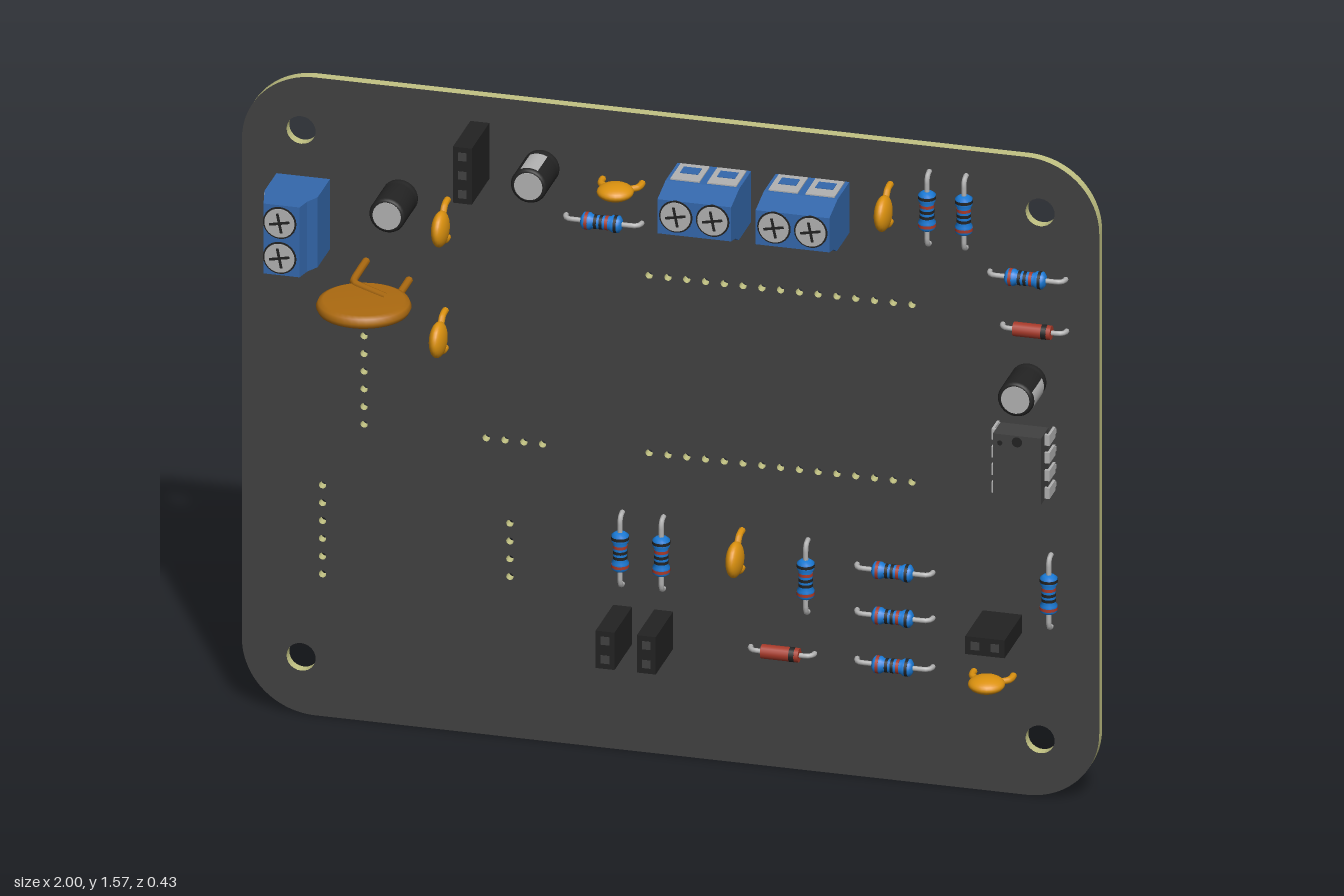
import * as THREE from 'three';

const mat = (name, color) => Object.assign(new THREE.MeshStandardMaterial({ color }), { name });
const M = {
  board: mat('board charcoal', 0x414141),
  edge: mat('board edge', 0xc2c283),
  terminal: mat('terminal blue', 0x3468ac),
  resistor: mat('resistor blue', 0x1a7ad6),
  orange: mat('capacitor orange', 0xdc920f),
  brown: mat('varistor amber', 0xac6a10),
  silver: mat('metal silver', 0xb2b2b2),
  black: mat('plastic black', 0x232323),
  red: mat('diode red', 0xa83a2a),
};
const FACE = -0.097, THICK = 0.024, TAIL = -0.058;

function add(group, name, geo, material, x = 0, y = 0, z = 0) {
  const m = new THREE.Mesh(geo, material);
  m.name = name;
  m.position.set(x, y, z);
  group.add(m);
  return m;
}
const box = (w, h, d) => new THREE.BoxGeometry(w, h, d);
const rod = (r, len, seg = 24) => new THREE.CylinderGeometry(r, r, len, seg).rotateX(Math.PI / 2);
const v = (x, y, z) => new THREE.Vector3(x, y, z);
const lathe = (pts, seg) => new THREE.LatheGeometry(pts.map(p => new THREE.Vector2(...p)), seg);

// Straight polyline tube with softened corners
function wire(group, name, pts, r, material) {
  const path = new THREE.CatmullRomCurve3(pts, false, 'catmullrom', 0.2);
  add(group, name, new THREE.TubeGeometry(path, 14, r, 8), material);
}
function pin(group, x, y, end = TAIL, r = 0.006, material = M.silver) {
  add(group, 'pin', rod(r, 0.01 - end, 8), material, x, y, (0.01 + end) / 2);
}

// Rounded board with mounting holes and rows of pin holes
function makeBoard() {
  const W = 1, H = 1.57, R = 0.17, s = new THREE.Shape();
  s.absarc(W - R, R, R, -Math.PI / 2, 0);
  s.absarc(W - R, H - R, R, 0, Math.PI / 2);
  s.absarc(-W + R, H - R, R, Math.PI / 2, Math.PI);
  s.absarc(-W + R, R, R, Math.PI, Math.PI * 1.5);
  const hole = (x, y, r) => {
    const p = new THREE.Path();
    p.absarc(x, y, r, 0, Math.PI * 2, true);
    s.holes.push(p);
  };
  for (const x of [-0.862, 0.862]) for (const y of [0.14, 1.437]) hole(x, y, 0.034);
  // x, y, count, step x, step y
  const rows = [
    [-0.05, 1.175, 15, 0.0438, 0], [-0.05, 0.738, 15, 0.0438, 0],
    [-0.715, 0.73, 7, 0, 0.0435], [-0.43, 0.73, 4, 0.0438, 0],
    [-0.812, 0.35, 6, 0, 0.0438], [-0.375, 0.395, 4, 0, 0.0438],
  ];
  for (const [x, y, n, dx, dy] of rows)
    for (let i = 0; i < n; i++) hole(x + i * dx, y + i * dy, 0.0085);
  const geo = new THREE.ExtrudeGeometry(s, { depth: THICK, bevelEnabled: false, curveSegments: 12 });
  const m = new THREE.Mesh(geo, [M.board, M.edge]);
  m.name = 'circuitBoard';
  m.position.z = FACE - THICK;
  return m;
}

// Bent leads at both ends of an axial part
function axialLeads(g, half, z) {
  for (const s of [-1, 1])
    wire(g, 'lead', [v(s * 0.03, 0, z), v(s * (half - 0.012), 0, z), v(s * half, 0, z - 0.012), v(s * half, 0, TAIL)], 0.006, M.silver);
}

function resistor(g) {
  const z = 0.021;
  const pts = [[0, -0.048], [0.012, -0.047], [0.02, -0.041], [0.02, -0.026], [0.016, -0.02],
    [0.016, 0.02], [0.02, 0.026], [0.02, 0.041], [0.012, 0.047], [0, 0.048]];
  add(g, 'resistorBody', lathe(pts, 16).rotateZ(-Math.PI / 2), M.resistor, 0, 0, z);
  const bands = [[-0.034, 0.0205, M.red], [-0.013, 0.0166, M.black], [0, 0.0166, M.black], [0.013, 0.0166, M.red], [0.034, 0.0205, M.black]];
  for (const [x, r, m] of bands)
    add(g, 'colourBand', new THREE.CylinderGeometry(r, r, 0.007, 16).rotateZ(Math.PI / 2), m, x, 0, z);
  axialLeads(g, 0.088, z);
}

function diode(g) {
  const z = 0.02, cyl = (r, l) => new THREE.CylinderGeometry(r, r, l, 16).rotateZ(Math.PI / 2);
  add(g, 'diodeBody', cyl(0.0165, 0.088), M.red, 0, 0, z);
  add(g, 'diodeBand', cyl(0.017, 0.012), M.black, 0.028, 0, z);
  axialLeads(g, 0.074, z);
}

function discCapacitor(g) {
  add(g, 'capacitorDisc', new THREE.SphereGeometry(1, 24, 16).scale(0.042, 0.019, 0.042), M.orange, 0, 0, 0.062);
  for (const s of [-1, 1]) {
    wire(g, 'capacitorLeg', [v(s * 0.022, 0, 0.045), v(s * 0.042, 0, 0.028), v(s * 0.046, 0, 0.014), v(s * 0.046, 0, 0)], 0.008, M.orange);
    pin(g, s * 0.046, 0);
  }
}

function varistor(g) {
  const pts = [[0, -0.016], [0.092, -0.016], [0.103, -0.011], [0.108, 0], [0.103, 0.011], [0.092, 0.016], [0, 0.016]];
  add(g, 'varistorDisc', lathe(pts, 40), M.brown, 0, 0, 0.203);
  for (const s of [-1, 1]) {
    wire(g, 'varistorLeg', [v(s * 0.05, s * -0.0175, 0), v(s * 0.05, s * -0.0175, 0.06),
      v(s * 0.046, s * -0.0155, 0.12), v(s * -0.045, s * -0.0145, 0.175)], 0.009, M.brown);
    pin(g, s * 0.05, s * -0.0175, -0.118, 0.008);
  }
}

function electrolytic(g) {
  const pts = [[0, 0], [0.039, 0], [0.042, 0.004], [0.042, 0.016], [0.038, 0.021], [0.042, 0.026],
    [0.042, 0.111], [0.038, 0.116], [0.033, 0.116], [0, 0.1155]];
  add(g, 'sleeve', lathe(pts, 28).rotateX(Math.PI / 2), M.black);
  add(g, 'canTop', rod(0.033, 0.004), M.silver, 0, 0, 0.116);
  const stripe = new THREE.CylinderGeometry(0.0428, 0.0428, 0.082, 8, 1, true, -0.5, 1).rotateX(Math.PI / 2);
  add(g, 'polarityStripe', stripe, M.silver, 0, 0, 0.069);
  for (const s of [-1, 1]) pin(g, 0, s * 0.022);
}

// Screw terminal, wire openings facing local +y
function terminalBlock(g) {
  const w = 0.172, s = new THREE.Shape();
  [[0.0625, 0], [0.0625, 0.1], [0.046, 0.17], [-0.038, 0.17], [-0.046, 0.135], [-0.0625, 0.105], [-0.0625, 0]]
    .forEach(([a, b], i) => (i ? s.lineTo(a, b) : s.moveTo(a, b)));
  const geo = new THREE.ExtrudeGeometry(s, { depth: w, bevelEnabled: false });
  geo.translate(0, 0, -w / 2).rotateX(Math.PI / 2).rotateZ(Math.PI / 2);
  add(g, 'terminalHousing', geo, M.terminal);
  for (const x of [-0.043, 0.043]) {
    add(g, 'screwWell', rod(0.039, 0.003), M.black, x, 0.008, 0.17);
    add(g, 'screwHead', rod(0.035, 0.006), M.silver, x, 0.008, 0.171);
    for (const a of [0.2, 0.2 + Math.PI / 2])
      add(g, 'screwSlot', box(0.048, 0.006, 0.002), M.black, x, 0.008, 0.1745).rotation.z = a;
    add(g, 'wireClamp', box(0.068, 0.004, 0.088), M.silver, x, 0.0635, 0.05);
    add(g, 'wireOpening', box(0.042, 0.004, 0.034), M.terminal, x, 0.065, 0.042);
    pin(g, x, 0, TAIL, 0.009);
  }
}

// Socket strip running along local x
const socket = (n, pinMat) => g => {
  add(g, 'socketHousing', box(n * 0.046, 0.044, 0.148), M.black, 0, 0, 0.074);
  for (let i = 0; i < n; i++) {
    const x = (i - (n - 1) / 2) * 0.046;
    add(g, 'socketOpening', box(0.02, 0.02, 0.002), M.board, x, 0, 0.148);
    pin(g, x, 0, TAIL, 0.007, pinMat);
  }
};

function chip(g) {
  add(g, 'chipBody', box(0.112, 0.163, 0.064), M.board, 0, 0, 0.055);
  add(g, 'chipNotch', rod(0.012, 0.002), M.black, 0, 0.066, 0.087);
  add(g, 'pinOneDot', rod(0.006, 0.002, 12), M.black, -0.04, 0.06, 0.087);
  for (const s of [-1, 1])
    for (let i = 0; i < 4; i++) {
      const y = (i - 1.5) * 0.0435;
      add(g, 'chipShoulder', box(0.012, 0.026, 0.008), M.silver, s * 0.06, y, 0.054);
      add(g, 'chipLeg', box(0.006, 0.026, 0.05), M.silver, s * 0.065, y, 0.033);
      add(g, 'chipPin', box(0.006, 0.011, 0.07), M.silver, s * 0.065, y, -0.024);
    }
}

export function createModel() {
  const root = new THREE.Group();
  root.name = 'circuitBoardAssembly';
  root.add(makeBoard());
  // Places one part per [x, y, quarter turns]
  const place = (name, build, spots) => {
    for (const [x, y, turns = 0] of spots) {
      const g = new THREE.Group();
      g.name = name;
      build(g);
      g.position.set(x, y, FACE);
      g.rotation.z = turns * Math.PI / 2;
      root.add(g);
    }
  };
  place('resistor', resistor, [
    [-0.155, 1.302], [0.604, 1.42, 1], [0.69, 1.42, 1], [0.834, 1.28], [-0.112, 0.497, 1], [-0.016, 0.497, 1],
    [0.321, 0.48, 1], [0.524, 0.522], [0.524, 0.41], [0.524, 0.29], [0.888, 0.51, 1],
  ]);
  place('diode', diode, [[0.85, 1.153], [0.262, 0.29]]);
  place('discCapacitor', discCapacitor, [
    [-0.52, 1.26, 1], [-0.525, 0.987, 1], [-0.112, 1.4], [0.513, 1.42, 1], [0.167, 0.527, 1], [0.754, 0.29],
  ]);
  place('varistor', varistor, [[-0.66, 1.115]]);
  place('electrolyticCapacitor', electrolytic, [[-0.63, 1.302], [-0.3, 1.414, 2], [0.836, 1.022, 1]]);
  place('terminalBlock', terminalBlock, [[0.102, 1.397], [0.331, 1.397], [-0.857, 1.238, 1]]);
  place('sensorSocket', socket(3, M.orange), [[-0.445, 1.437, 1]]);
  place('jumperSocket', socket(2, M.silver), [[-0.112, 0.308, 1], [-0.016, 0.308, 1], [0.774, 0.42]]);
  place('chip', chip, [[0.832, 0.839]]);
  return root;
}
